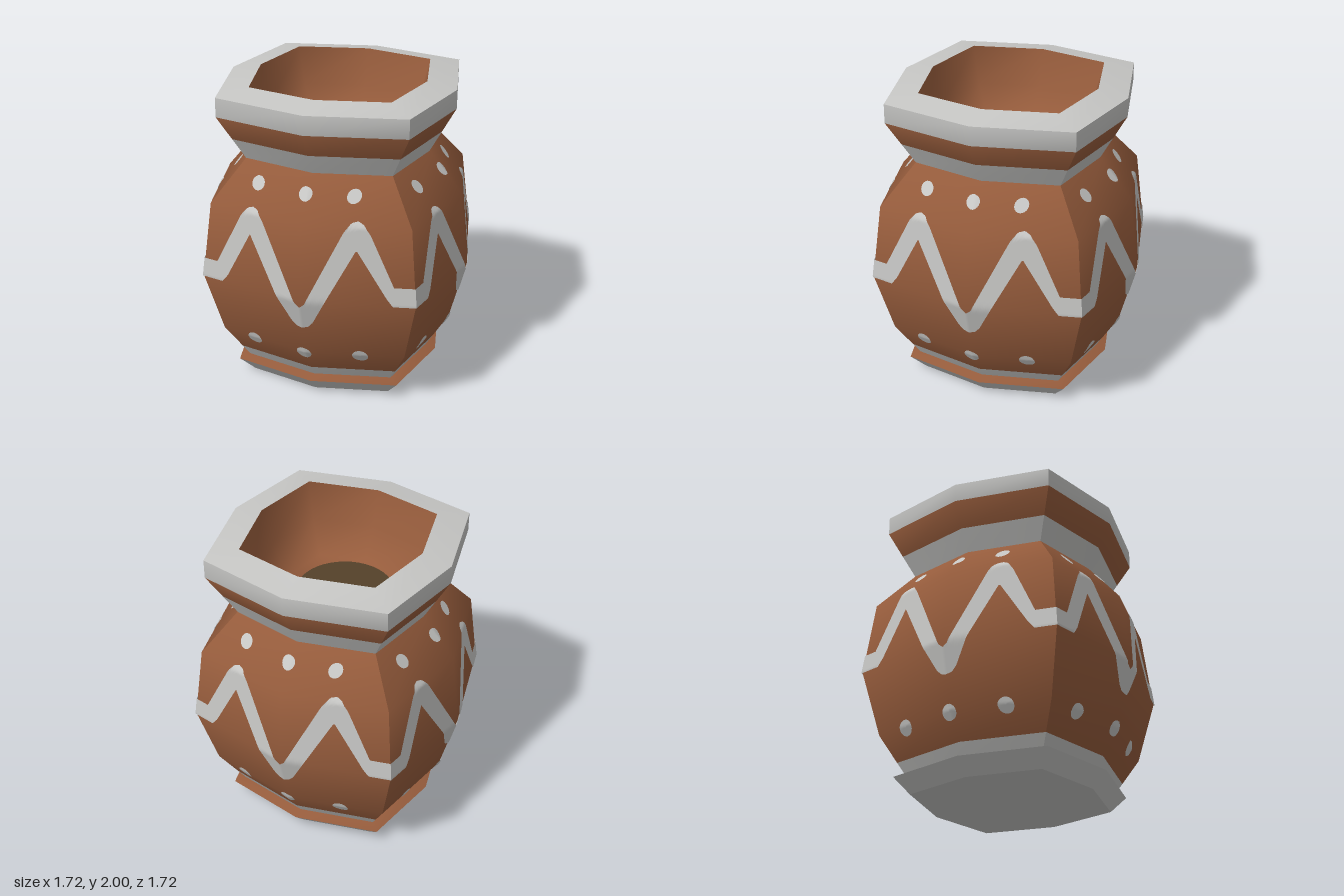
import * as THREE from 'three';
import { toCreasedNormals } from 'three/addons/utils/BufferGeometryUtils.js';

const CORNER = 0.82;                       // corner x (and z) relative to the mid-side radius
const SLOPE = (1 - CORNER) / CORNER;       // how fast each side falls back from its middle

// Body profile: height, mid-side radius
const BODY = [[0.125, 0.6], [0.37, 0.75], [0.79, 0.86], [1.28, 0.8], [1.54, 0.585]];

// Piecewise linear lookup in a list of [key, value]
function lerpTable(table, k) {
  let i = 0;
  while (i < table.length - 2 && k > table[i + 1][0]) i++;
  const [k0, v0] = table[i], [k1, v1] = table[i + 1];
  return v0 + (v1 - v0) * (k - k0) / (k1 - k0);
}

// One of the eight ring points; even ones are side middles, odd ones corners
function ringPoint(i, y, m) {
  const r = m * (i % 2 ? CORNER * Math.SQRT2 : 1), a = i * Math.PI / 4;
  return [r * Math.sin(a), y, r * Math.cos(a)];
}

// Eight-sided shell; each row is [height, radius, material index of the band above]
function shell(name, rows, materials, creaseDeg) {
  const pos = [], geo = new THREE.BufferGeometry();
  for (let j = 0; j < rows.length - 1; j++) {
    const [y0, m0, mat] = rows[j], [y1, m1] = rows[j + 1];
    const start = pos.length / 3;
    for (let i = 0; i < 8; i++) {
      const a = ringPoint(i, y0, m0), b = ringPoint(i + 1, y0, m0);
      const c = ringPoint(i + 1, y1, m1), d = ringPoint(i, y1, m1);
      if (m0 > 0) pos.push(...a, ...b, ...c);
      if (m1 > 0) pos.push(...a, ...c, ...d);
    }
    geo.addGroup(start, pos.length / 3 - start, mat);
  }
  geo.setAttribute('position', new THREE.Float32BufferAttribute(pos, 3));
  const mesh = new THREE.Mesh(toCreasedNormals(geo, THREE.MathUtils.degToRad(creaseDeg)), materials);
  mesh.name = name;
  return mesh;
}

// Grid patch of paint laid just above the front side of the body; f(u, v) gives x, y
function paint(name, nu, nv, f, material) {
  const geo = new THREE.PlaneGeometry(1, 1, nu, nv), p = geo.attributes.position;
  for (let i = 0; i < p.count; i++) {
    const [x0, y] = f(p.getX(i) + 0.5, p.getY(i) + 0.5);
    const m = lerpTable(BODY, y) + 0.006;
    const x = THREE.MathUtils.clamp(x0, -CORNER * m, CORNER * m);
    p.setXYZ(i, x, y, m - SLOPE * Math.abs(x));
  }
  geo.computeVertexNormals();
  const mesh = new THREE.Mesh(geo, material);
  mesh.name = name;
  return mesh;
}

export function createModel() {
  const clay = new THREE.MeshStandardMaterial({ color: 0x965c3c });
  clay.name = 'terracotta';
  const white = new THREE.MeshStandardMaterial({ color: 0xc6c6c4 });
  white.name = 'pale paint';
  const soilMat = new THREE.MeshStandardMaterial({ color: 0x54412a, side: THREE.DoubleSide });
  soilMat.name = 'dark soil';
  white.side = THREE.DoubleSide;
  const mats = [clay, white];

  const pot = new THREE.Group();
  pot.name = 'pot';

  // Foot, body and flared neck with painted bands
  pot.add(shell('foot', [[0, 0, 1], [0, 0.57, 1], [0.105, 0.665, 0], [0.125, 0.6, 0]], mats, 42));
  pot.add(shell('body', [
    [0.125, 0.6, 1], [0.2, lerpTable(BODY, 0.2), 0],
    ...BODY.slice(1).map(([y, m]) => [y, m, 0]),
  ], mats, 42));
  pot.add(shell('neckAndRim', [
    [1.54, 0.585, 1], [1.68, 0.662, 0], [1.84, 0.75, 1], [1.965, 0.75, 1], [2, 0.557, 1],
  ], mats, 42));

  // Bowl-shaped inside and the soil patch on its floor
  pot.add(shell('inside', [[2, 0.557, 0], [1.76, 0.49, 0], [1.56, 0.37, 0], [1.56, 0, 0]], mats, 85));
  const soil = new THREE.Mesh(new THREE.CircleGeometry(0.312, 40).rotateX(-Math.PI / 2), soilMat);
  soil.position.set(-0.025, 1.565, 0.02);
  soil.name = 'soil';
  pot.add(soil);

  // Upper and lower edges of the zigzag stripe
  const upper = [[-0.71, 0.91], [-0.6, 0.91], [-0.425, 1.26], [-0.385, 1.305], [-0.35, 1.315], [-0.315, 1.305],
    [-0.275, 1.25], [-0.03, 0.77], [0, 0.745], [0.03, 0.77], [0.255, 1.25], [0.295, 1.305], [0.335, 1.315],
    [0.375, 1.295], [0.415, 1.24], [0.57, 0.91], [0.71, 0.91]];
  const lower = [[-0.71, 0.785], [-0.56, 0.785], [-0.52, 0.835], [-0.36, 1.145], [-0.07, 0.625], [-0.04, 0.592],
    [0, 0.58], [0.04, 0.592], [0.07, 0.625], [0.335, 1.14], [0.53, 0.835], [0.57, 0.785], [0.71, 0.785]];

  // The same painted pattern on all four sides
  for (let s = 0; s < 4; s++) {
    const side = new THREE.Group();
    side.name = 'paintedSide' + (s + 1);
    side.rotation.y = s * Math.PI / 2;
    side.add(paint('zigzag', 142, 14, (u, v) => {
      const x = -0.71 + 1.42 * u;
      return [x, THREE.MathUtils.lerp(lerpTable(lower, x), lerpTable(upper, x), v)];
    }, white));
    const dotRow = (name, xs, y, rx, ry) => xs.forEach((x) => side.add(
      paint(name, 20, 4, (u, v) => {
        const a = -u * Math.PI * 2, r = 1 - v;   // v = 1 is the centre
        return [x + rx * r * Math.cos(-a), y + ry * r * Math.sin(-a)];
      }, white)));
    dotRow('upperDot', [-0.35, -0.015, 0.28], 1.435, 0.044, 0.038);
    dotRow('lowerDot', [-0.38, -0.015, 0.34], 0.36, 0.05, 0.047);
    pot.add(side);
  }
  return pot;
}
